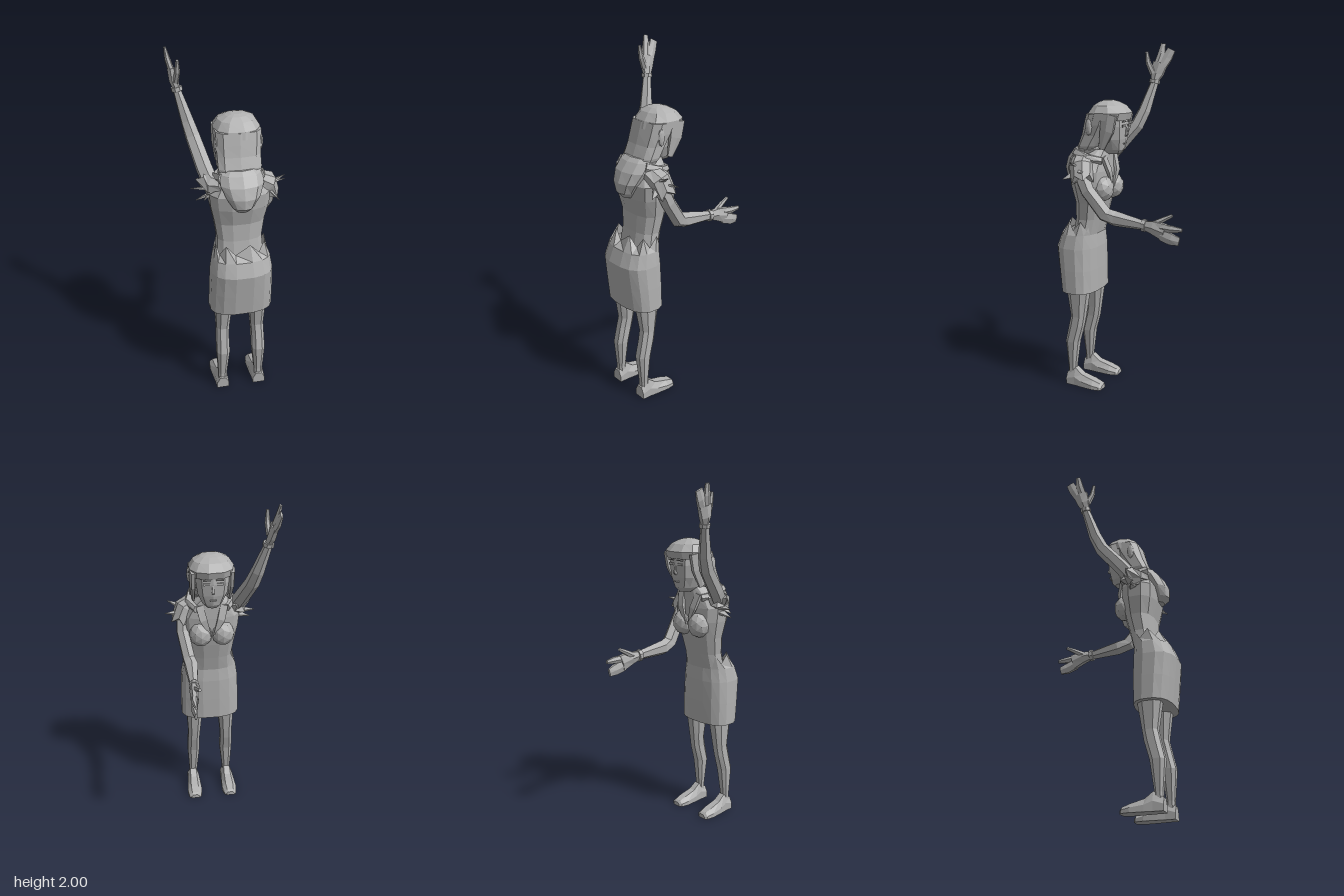
import * as THREE from 'three';

const V = (x, y, z) => new THREE.Vector3(x, y, z);
const MID = 0.035; // body centre line in x
const grey = new THREE.MeshStandardMaterial({ color: 0xb0b0b0, flatShading: true, side: THREE.DoubleSide });
grey.name = 'plain grey';

// Skin a list of equal-length rings; faces are turned outward by volume sign
function loft(rings, capStart = true, capEnd = true) {
  const tris = [], n = rings[0].length;
  for (let i = 0; i < rings.length - 1; i++) {
    for (let j = 0; j < n; j++) {
      const k = (j + 1) % n, a = rings[i][j], b = rings[i][k], c = rings[i + 1][k], d = rings[i + 1][j];
      tris.push([a, b, c], [a, c, d]);
    }
  }
  const cap = (r, flip) => {
    const m = r.reduce((s, p) => s.add(p), V(0, 0, 0)).divideScalar(n);
    for (let j = 0; j < n; j++) {
      const k = (j + 1) % n;
      tris.push(flip ? [r[k], r[j], m] : [r[j], r[k], m]);
    }
  };
  if (capStart) cap(rings[0], true);
  if (capEnd) cap(rings[rings.length - 1], false);
  const o = rings[0][0];
  let vol = 0;
  for (const [a, b, c] of tris) vol += a.clone().sub(o).dot(b.clone().sub(o).cross(c.clone().sub(o)));
  const pts = tris.flatMap(([a, b, c]) => (vol < 0 ? [a, c, b] : [a, b, c]));
  const g = new THREE.BufferGeometry().setFromPoints(pts);
  g.computeVertexNormals();
  return g;
}

// Upright form from rows [y, xMin, xMax, zMin, zMax, zigzag]
function stack(rows, n = 10, power = 2.5, capStart = true, capEnd = true) {
  const sq = (v) => Math.sign(v) * Math.abs(v) ** (2 / power);
  return loft(rows.map(([y, x0, x1, z0, z1, zig = 0]) => Array.from({ length: n }, (_, j) => {
    const a = ((j + 0.5) / n) * Math.PI * 2;
    return V((x0 + x1) / 2 + sq(Math.cos(a)) * (x1 - x0) / 2, y + (j % 2 ? zig : -zig),
      (z0 + z1) / 2 + sq(Math.sin(a)) * (z1 - z0) / 2);
  })), capStart, capEnd);
}

// Limb along points [x, y, z, halfWidth, halfDepth]; "across" is the width direction
function limb(points, across, n = 6, zig = 0) {
  const c = points.map((p) => V(p[0], p[1], p[2]));
  return loft(points.map((p, i) => {
    const t = c[Math.min(i + 1, c.length - 1)].clone().sub(c[Math.max(i - 1, 0)]).normalize();
    const u = across.clone().addScaledVector(t, -across.dot(t)).normalize();
    const w = t.clone().cross(u);
    return Array.from({ length: n }, (_, j) => {
      const a = ((j + 0.5) / n) * Math.PI * 2;
      const out = c[i].clone().addScaledVector(u, Math.cos(a) * p[3]).addScaledVector(w, Math.sin(a) * p[4]);
      return i === points.length - 1 ? out.addScaledVector(t, j % 2 ? zig : -zig) : out;
    });
  }));
}

export function createModel() {
  const model = new THREE.Group();
  model.name = 'wavingWoman';
  const add = (name, geo) => {
    const m = new THREE.Mesh(geo, grey);
    m.name = name;
    model.add(m);
    return m;
  };

  // Legs and feet
  for (const s of [-1, 1]) {
    const row = (y, cx, w, z0, z1) => [y, MID + s * cx - w, MID + s * cx + w, z0, z1];
    add('leg', stack([
      row(0.05, 0.11, 0.027, 0.27, 0.322), row(0.1, 0.11, 0.027, 0.272, 0.32),
      row(0.27, 0.106, 0.041, 0.25, 0.337), row(0.37, 0.105, 0.039, 0.222, 0.315),
      row(0.43, 0.102, 0.04, 0.212, 0.302), row(0.6, 0.098, 0.053, 0.185, 0.328),
      row(0.68, 0.098, 0.055, 0.18, 0.33)], 8));
    // Foot runs from heel to toe
    const foot = [[0.326, 0.036, 0.07], [0.27, 0.037, 0.105], [0.225, 0.042, 0.07], [0.15, 0.047, 0.05], [0.105, 0.04, 0.035], [0.093, 0.025, 0.025]];
    add('foot', loft(foot.map(([z, w, h]) => {
      const x = MID + s * (0.111 + (0.32 - z) * 0.02);
      return [V(x - w, 0, z), V(x + w, 0, z), V(x + w, h * 0.5, z), V(x + w * 0.5, h, z), V(x - w * 0.5, h, z), V(x - w, h * 0.5, z)];
    })));
  }

  // Skirt with a jagged waistband
  add('skirt', stack([
    [0.585, -0.145, 0.215, 0.153, 0.372], [0.72, -0.143, 0.213, 0.152, 0.388],
    [0.85, -0.138, 0.208, 0.153, 0.403], [0.93, -0.125, 0.195, 0.16, 0.372],
    [0.985, -0.108, 0.178, 0.155, 0.325, 0.028]], 16, 2.6, true, false));

  // Vest and chest
  add('torso', stack([
    [0.93, -0.098, 0.168, 0.155, 0.3], [1.02, -0.092, 0.162, 0.135, 0.284],
    [1.12, -0.106, 0.178, 0.11, 0.28], [1.22, -0.128, 0.2, 0.09, 0.305],
    [1.3, -0.137, 0.207, 0.088, 0.312], [1.37, -0.09, 0.16, 0.09, 0.285],
    [1.42, -0.03, 0.1, 0.09, 0.22]], 12, 2.5));
  for (const s of [-1, 1]) {
    const bust = add('bust', new THREE.IcosahedronGeometry(1, 1));
    bust.scale.set(0.068, 0.075, 0.062);
    bust.position.set(MID + s * 0.064, 1.2, 0.108);
    // Pointed lapels
    add('lapel', limb([[MID + s * 0.07, 1.38, 0.1, 0.03, 0.012], [MID + s * 0.05, 1.3, 0.075, 0.03, 0.012],
      [MID + s * 0.008, 1.2, 0.075, 0.004, 0.004]], V(1, 0, 0), 4));
  }
  add('neck', limb([[MID, 1.32, 0.17, 0.045, 0.045], [MID, 1.46, 0.105, 0.042, 0.042]], V(1, 0, 0), 8));

  // Hood hanging down the back
  add('hood', stack([
    [1.225, 0.0, 0.07, 0.27, 0.33], [1.255, -0.025, 0.095, 0.24, 0.36],
    [1.31, -0.06, 0.13, 0.22, 0.362], [1.37, -0.085, 0.155, 0.18, 0.338],
    [1.42, -0.085, 0.155, 0.14, 0.3], [1.44, -0.06, 0.13, 0.14, 0.275]], 10, 2.2));
  for (const s of [-1, 1]) {
    add('collarRoll', limb([[MID + s * 0.1, 1.4, 0.26, 0.03, 0.025], [MID + s * 0.125, 1.37, 0.18, 0.032, 0.027],
      [MID + s * 0.085, 1.36, 0.105, 0.022, 0.022]], V(0, 1, 0), 6));
  }

  // Head
  add('face', stack([
    [1.395, 0.005, 0.07, 0.03, 0.1], [1.42, -0.02, 0.095, 0.008, 0.15],
    [1.48, -0.048, 0.122, -0.005, 0.17], [1.55, -0.058, 0.132, -0.012, 0.18],
    [1.63, -0.055, 0.13, -0.005, 0.18]], 10, 2.6));
  add('nose', limb([[0.04, 1.545, -0.008, 0.006, 0.005], [0.04, 1.505, -0.014, 0.011, 0.01],
    [0.04, 1.495, -0.004, 0.008, 0.003]], V(1, 0, 0), 4));
  for (const s of [-1, 1]) {
    add('eye', new THREE.BoxGeometry(0.036, 0.012, 0.008)).position.set(0.038 + s * 0.036, 1.555, -0.01);
    add('eyebrow', new THREE.BoxGeometry(0.042, 0.006, 0.008)).position.set(0.038 + s * 0.036, 1.578, -0.012);
  }
  add('mouth', new THREE.BoxGeometry(0.035, 0.007, 0.008)).position.set(0.038, 1.455, -0.001);

  // Bobbed hair: crown with fringe, back and side locks
  add('hairCrown', stack([
    [1.585, -0.085, 0.165, -0.018, 0.216], [1.625, -0.086, 0.166, -0.03, 0.205],
    [1.665, -0.06, 0.14, 0.005, 0.175], [1.685, -0.02, 0.1, 0.045, 0.145],
    [1.693, 0.01, 0.07, 0.075, 0.12]], 11, 2.4));
  add('hairBack', stack([
    [1.395, -0.07, 0.14, 0.18, 0.272], [1.44, -0.085, 0.155, 0.14, 0.262],
    [1.5, -0.085, 0.155, 0.1, 0.238], [1.56, -0.087, 0.163, 0.06, 0.222],
    [1.62, -0.086, 0.165, 0.04, 0.205]], 10, 3));
  for (const s of [-1, 1]) {
    const x = 0.038 + s * 0.107;
    add('sideLock', limb([[x, 1.62, 0.045, 0.05, 0.018], [x, 1.53, 0.06, 0.045, 0.017],
      [x - s * 0.005, 1.43, 0.095, 0.02, 0.01]], V(0, 0, 1), 6));
    const ear = add('ear', new THREE.IcosahedronGeometry(1, 1));
    ear.scale.set(0.012, 0.048, 0.02);
    ear.position.set(0.038 + s * 0.119, 1.55, 0.165);
  }

  // Raised arm with open hand
  add('raisedArm', limb([[-0.1, 1.3, 0.22, 0.045, 0.045], [-0.14, 1.41, 0.13, 0.046, 0.044],
    [-0.178, 1.54, 0.02, 0.042, 0.04], [-0.2, 1.62, -0.015, 0.037, 0.037],
    [-0.245, 1.785, -0.06, 0.022, 0.024]], V(1, 0, 0)));
  add('raisedCuff', limb([[-0.242, 1.775, -0.058, 0.031, 0.031], [-0.246, 1.796, -0.061, 0.031, 0.031]], V(1, 0, 0), 8));
  const acrossZ = V(0, 0.4, 1).normalize();
  add('raisedPalm', limb([[-0.245, 1.79, -0.06, 0.024, 0.02], [-0.258, 1.83, -0.07, 0.04, 0.024],
    [-0.268, 1.89, -0.085, 0.05, 0.02]], acrossZ));
  add('raisedFingers', limb([[-0.266, 1.88, -0.07, 0.026, 0.016], [-0.283, 1.94, -0.085, 0.024, 0.015],
    [-0.294, 2.0, -0.092, 0.015, 0.007]], acrossZ));
  add('raisedFingers', limb([[-0.266, 1.875, -0.1, 0.028, 0.016], [-0.28, 1.92, -0.123, 0.032, 0.014],
    [-0.288, 1.968, -0.145, 0.028, 0.007]], acrossZ));
  add('raisedThumb', limb([[-0.25, 1.83, -0.048, 0.02, 0.017], [-0.243, 1.89, -0.02, 0.016, 0.015],
    [-0.244, 1.955, -0.008, 0.009, 0.008]], acrossZ));

  // Forward arm with open hand
  add('forwardArm', limb([[0.19, 1.33, 0.215, 0.042, 0.045], [0.2, 1.2, 0.155, 0.038, 0.043],
    [0.175, 1.07, 0.06, 0.038, 0.046], [0.165, 1.05, 0.0, 0.042, 0.044],
    [0.172, 1.03, -0.175, 0.022, 0.027]], V(1, 0, 0)));
  add('forwardCuff', limb([[0.17, 1.031, -0.165, 0.03, 0.035], [0.17, 1.029, -0.187, 0.03, 0.035]], V(1, 0, 0), 8));
  const up = V(0, 1, 0);
  add('forwardPalm', limb([[0.172, 1.03, -0.18, 0.028, 0.02], [0.174, 1.025, -0.23, 0.041, 0.026],
    [0.178, 1.005, -0.3, 0.054, 0.022]], up));
  add('forwardFingers', limb([[0.178, 1.03, -0.28, 0.022, 0.018], [0.185, 1.028, -0.34, 0.021, 0.017],
    [0.181, 1.026, -0.4, 0.012, 0.008]], up));
  add('forwardFingers', limb([[0.178, 0.99, -0.28, 0.036, 0.018], [0.185, 0.972, -0.34, 0.036, 0.017],
    [0.181, 0.962, -0.385, 0.026, 0.008]], up));
  add('forwardThumb', limb([[0.168, 1.04, -0.23, 0.02, 0.017], [0.158, 1.07, -0.285, 0.015, 0.014],
    [0.153, 1.095, -0.333, 0.01, 0.008]], up));

  // Torn short sleeves with ragged tufts
  const sleeve = (path, tufts) => {
    add('sleeve', limb(path, V(0, 0, 1), 8, 0.018));
    for (const [x, y, z, tx, ty, tz] of tufts) {
      add('sleeveTuft', limb([[x, y, z, 0.032, 0.012], [tx, ty, tz, 0.002, 0.002]], V(0, 0.3, 1), 4));
    }
  };
  sleeve([[0.13, 1.37, 0.22, 0.06, 0.04], [0.185, 1.335, 0.2, 0.068, 0.055], [0.212, 1.26, 0.18, 0.062, 0.052]],
    [[0.2, 1.31, 0.18, 0.297, 1.315, 0.165], [0.2, 1.33, 0.22, 0.28, 1.37, 0.22],
      [0.2, 1.29, 0.23, 0.235, 1.26, 0.292], [0.21, 1.28, 0.2, 0.245, 1.235, 0.23]]);
  sleeve([[-0.06, 1.36, 0.22, 0.06, 0.04], [-0.1, 1.34, 0.2, 0.066, 0.055], [-0.14, 1.36, 0.15, 0.055, 0.052]],
    [[-0.13, 1.31, 0.18, -0.22, 1.31, 0.167], [-0.12, 1.28, 0.19, -0.198, 1.255, 0.2],
      [-0.12, 1.3, 0.21, -0.16, 1.27, 0.237], [-0.13, 1.35, 0.17, -0.188, 1.37, 0.17]]);

  return model;
}
